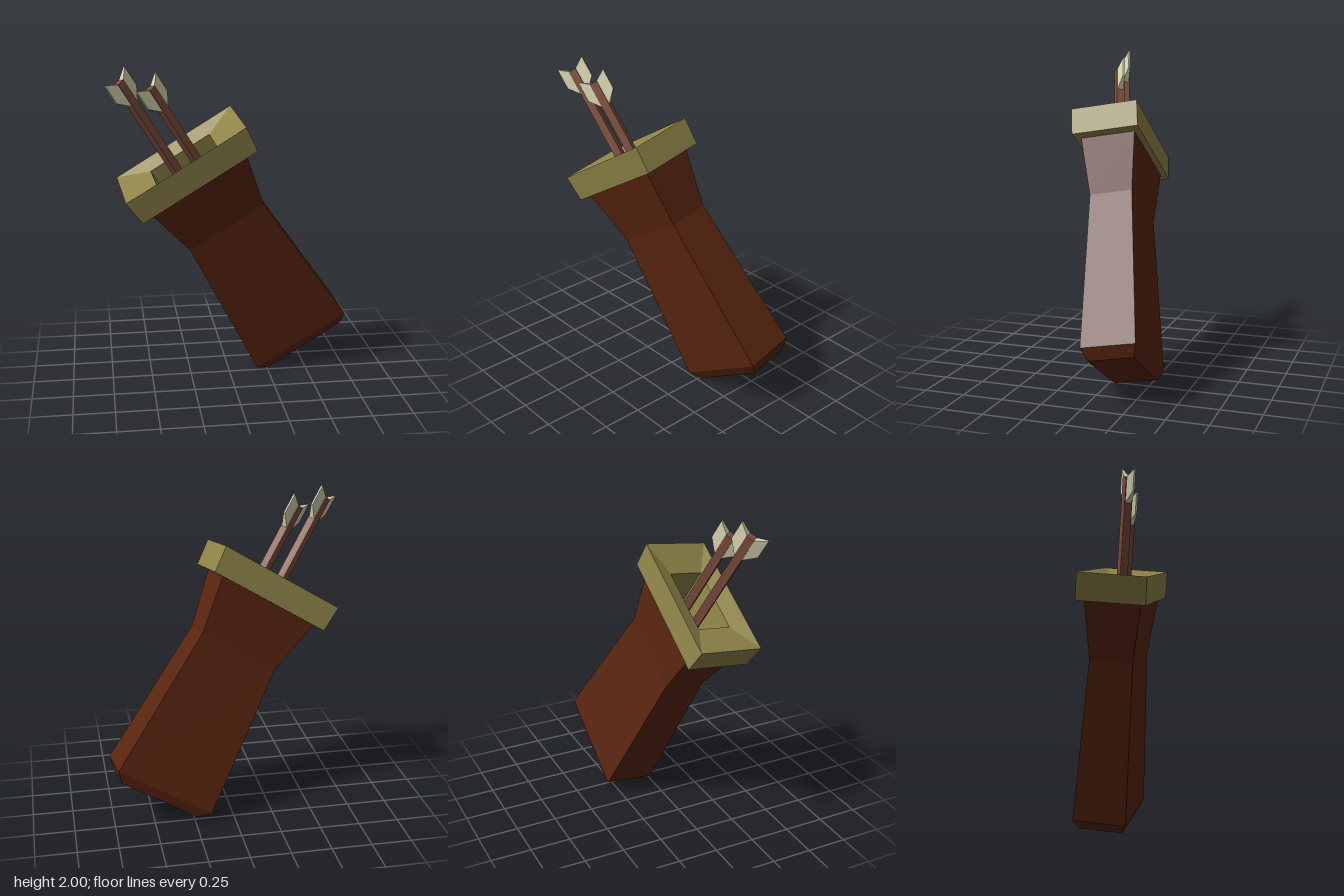
import * as THREE from 'three';

const mat = (name, color) => {
  const m = new THREE.MeshStandardMaterial({ color, flatShading: true });
  m.name = name;
  return m;
};

function add(parent, name, geometry, material) {
  const mesh = new THREE.Mesh(geometry, material);
  mesh.name = name;
  parent.add(mesh);
  return mesh;
}

// Skin rectangular sections [halfWidth, halfDepth, height], with optional end caps
function loft(sections, capStart, capEnd) {
  const rings = sections.map(([w, d, y]) => [[-w, y, d], [w, y, d], [w, y, -d], [-w, y, -d]]);
  const pos = [];
  const quad = (a, b, c, d) => pos.push(...a, ...b, ...c, ...a, ...c, ...d);
  for (let s = 0; s < rings.length - 1; s++) {
    const a = rings[s], b = rings[s + 1];
    for (let i = 0; i < 4; i++) {
      const j = (i + 1) % 4;
      quad(a[i], a[j], b[j], b[i]);
    }
  }
  if (capStart) quad(...[...rings[0]].reverse());
  if (capEnd) quad(...rings[rings.length - 1]);
  const g = new THREE.BufferGeometry();
  g.setAttribute('position', new THREE.Float32BufferAttribute(pos, 3));
  g.computeVertexNormals();
  return g;
}

// Vane outline, thick at the shaft and thin at the outer edge
function vaneGeometry() {
  const outline = [[0.015, -0.165], [0.09, -0.085], [0.09, 0.045], [0.015, -0.005]];
  const shape = new THREE.Shape(outline.map(([x, y]) => new THREE.Vector2(x, y)));
  const g = new THREE.ExtrudeGeometry(shape, { depth: 1, bevelEnabled: false });
  const p = g.attributes.position;
  for (let i = 0; i < p.count; i++) {
    const thickness = p.getX(i) > 0.05 ? 0.012 : 0.045;
    p.setZ(i, (p.getZ(i) - 0.5) * thickness);
  }
  g.computeVertexNormals();
  return g;
}

export function createModel() {
  const leather = mat('dark leather', 0x5a2510);
  const trim = mat('olive trim', 0x8f8449);
  const wood = mat('arrow wood', 0x80503f);
  const feather = mat('pale feather', 0xdad7b4);

  const model = new THREE.Group();
  model.name = 'quiver';

  // Tilted frame: x across the quiver, y along it, z through its depth
  const quiver = new THREE.Group();
  quiver.name = 'tiltedQuiver';
  const across = new THREE.Vector3(0.854, 0.521, 0).normalize();
  const depth = new THREE.Vector3(0.089, -0.156, 0.984);
  depth.addScaledVector(across, -depth.dot(across)).normalize();
  const along = new THREE.Vector3().crossVectors(depth, across);
  quiver.quaternion.setFromRotationMatrix(new THREE.Matrix4().makeBasis(across, along, depth));
  quiver.position.set(-0.316, 1.476, 0.115);
  model.add(quiver);

  // Body with chamfered foot and narrow waist
  add(quiver, 'body', loft([
    [0.272, 0.135, -1.561],
    [0.333, 0.163, -1.498],
    [0.264, 0.132, -0.525],
    [0.33, 0.17, -0.167],
  ], true, false), leather);

  // Rim with sloped mouth and deep lining
  add(quiver, 'rim', loft([
    [0.325, 0.165, -0.167],
    [0.398, 0.208, -0.167],
    [0.4125, 0.208, 0],
    [0.21, 0.108, -0.044],
    [0.21, 0.108, -0.95],
  ], false, true), trim);

  // Arrows: [offset across, height of the end]
  const vane = vaneGeometry();
  [[-0.07, 0.57], [0.062, 0.44]].forEach(([x, end], n) => {
    const arrow = new THREE.Group();
    arrow.name = `arrow${n + 1}`;
    arrow.position.set(x, end, 0);
    arrow.rotation.y = Math.atan2(-0.57, -0.82);
    quiver.add(arrow);
    const length = end + 0.9;
    add(arrow, 'shaft', new THREE.BoxGeometry(0.05, length, 0.05).translate(0, -length / 2, 0), wood);
    for (const turn of [0, Math.PI]) add(arrow, 'vane', vane, feather).rotation.y = turn;
  });

  return model;
}
